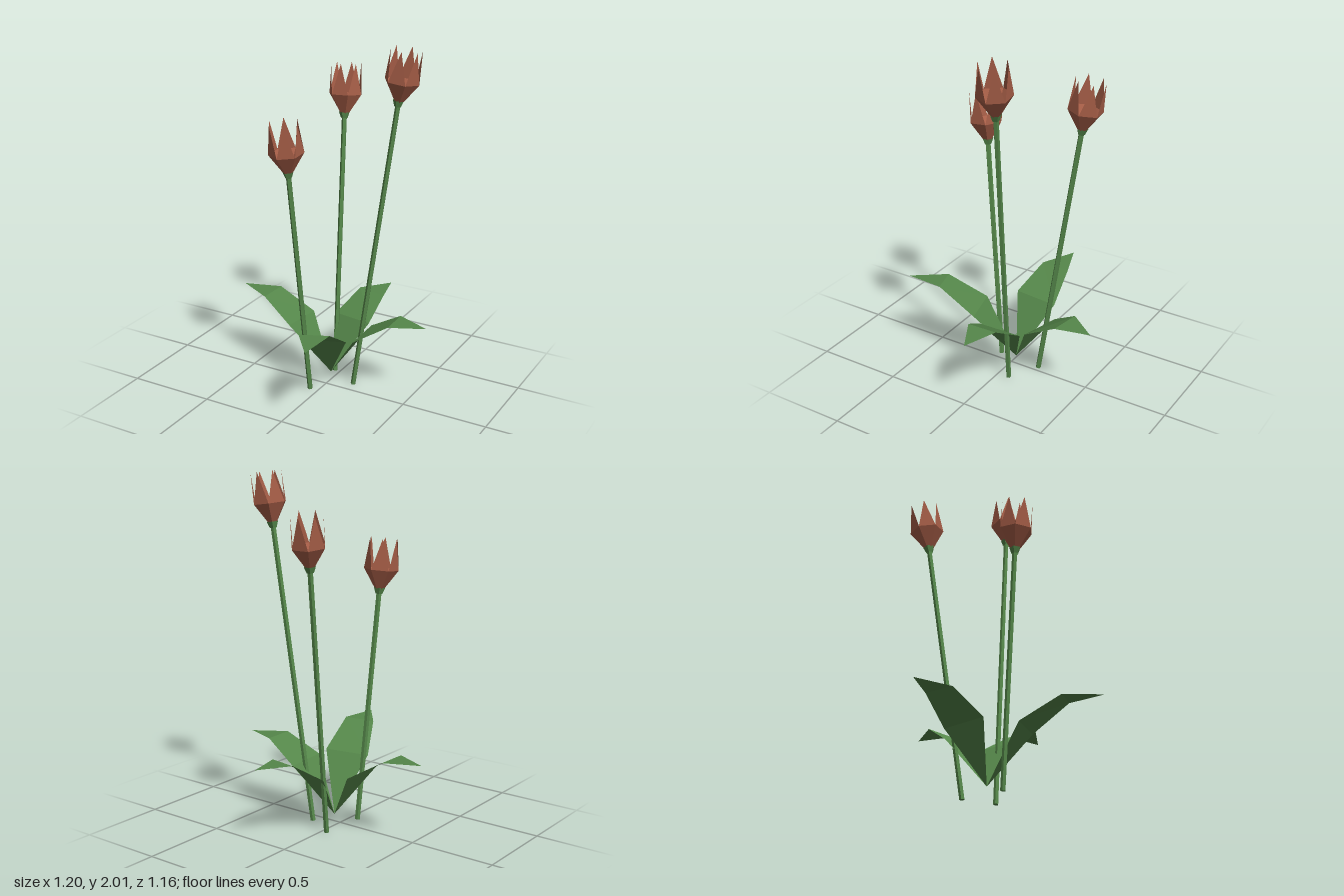
import * as THREE from 'three';

const green = new THREE.MeshStandardMaterial({ name: 'leaf green', color: 0x55874a, flatShading: true, side: THREE.DoubleSide });
const rust = new THREE.MeshStandardMaterial({ name: 'petal rust', color: 0xa85f48, flatShading: true, side: THREE.DoubleSide });

// Faceted surface from corner points and triangles
function facets(points, triangles) {
  const geometry = new THREE.BufferGeometry();
  geometry.setAttribute('position', new THREE.Float32BufferAttribute(triangles.flat().flatMap((i) => points[i]), 3));
  geometry.computeVertexNormals();
  return geometry;
}

function addMesh(parent, name, geometry, material) {
  const mesh = new THREE.Mesh(geometry, material);
  mesh.name = name;
  parent.add(mesh);
  return mesh;
}

// Open six-sided cup with one upright pointed petal on every side
function petalGeometry() {
  const points = [], triangles = [];
  const ring = (radius, y, shift) => {
    for (let i = 0; i < 6; i++) {
      const a = ((i + shift) * Math.PI) / 3;
      points.push([radius * Math.cos(a), y, radius * Math.sin(a)]);
    }
  };
  ring(0.025, 0.01, 0); // neck
  ring(0.097, 0.12, 0); // widest rim
  ring(0.085, 0.295, 0.5); // petal tips
  for (let i = 0; i < 6; i++) {
    const j = (i + 1) % 6;
    triangles.push([i, 6 + i, 6 + j], [i, 6 + j, j], [6 + i, 12 + i, 6 + j]);
  }
  return facets(points, triangles);
}

// Leaf: root, two cross-sections (two corners each) and tip
function leafGeometry(corners) {
  return facets([[0.01, 0.06, -0.04], ...corners], [[0, 1, 2], [1, 3, 4], [1, 4, 2], [3, 5, 4]]);
}

export function createModel() {
  const model = new THREE.Group();
  model.name = 'flowerPlant';

  // Leaning flowers: stem base, stem top, turn of the bloom in degrees
  const flowers = [
    [[0.142, 0, -0.07], [0.362, 1.70, -0.135], -6],
    [[-0.032, 0, -0.167], [-0.094, 1.52, -0.378], -7],
    [[-0.05, 0, 0.1], [-0.106, 1.33, 0.222], 30],
  ];
  const bloom = petalGeometry();
  for (const [from, to, turn] of flowers) {
    const base = new THREE.Vector3(...from);
    const axis = new THREE.Vector3(...to).sub(base);
    const length = axis.length();
    const flower = new THREE.Group();
    flower.name = 'flower';
    flower.position.copy(base);
    flower.quaternion.setFromUnitVectors(new THREE.Vector3(0, 1, 0), axis.normalize());

    addMesh(flower, 'stem', new THREE.CylinderGeometry(0.015, 0.015, length, 5).translate(0, length / 2, 0), green);
    addMesh(flower, 'calyx', new THREE.CylinderGeometry(0.033, 0.02, 0.035, 5, 1, true).translate(0, length, 0), green);
    const petals = addMesh(flower, 'petals', bloom, rust);
    petals.position.y = length;
    petals.rotation.y = -THREE.MathUtils.degToRad(turn);
    model.add(flower);
  }

  // Four arching leaves
  const leaves = {
    leftLeaf: [[0.2, 0.345, -0.18], [0.215, 0.35, 0.08], [0.4, 0.465, -0.15], [0.405, 0.465, 0.025], [0.595, 0.46, -0.075]],
    rightLeaf: [[-0.185, 0.35, -0.18], [-0.2, 0.36, 0.08], [-0.395, 0.475, -0.15], [-0.4, 0.475, 0.025], [-0.6, 0.48, -0.075]],
    frontLeaf: [[-0.05, 0.36, 0.2], [0.2, 0.37, 0.13], [0.055, 0.5, 0.4], [0.22, 0.51, 0.35], [0.2, 0.505, 0.58]],
    backLeaf: [[0.175, 0.345, -0.195], [-0.075, 0.335, -0.25], [0.172, 0.445, -0.385], [0, 0.45, -0.42], [0.125, 0.445, -0.585]],
  };
  for (const [name, corners] of Object.entries(leaves)) addMesh(model, name, leafGeometry(corners), green);

  return model;
}
